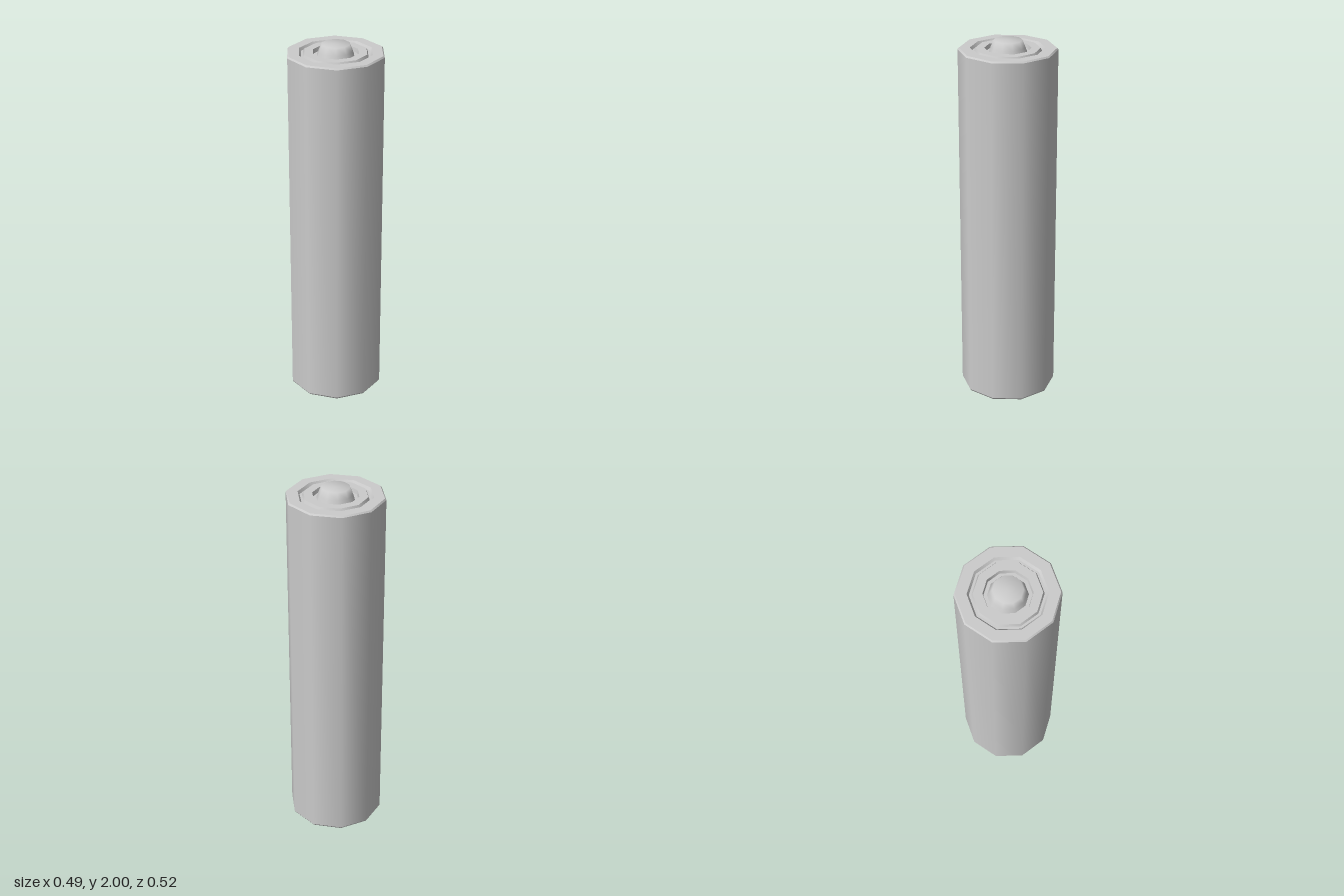
import * as THREE from 'three';
import { mergeGeometries } from 'three/addons/utils/BufferGeometryUtils.js';

const SIDES = 10;
const material = new THREE.MeshStandardMaterial({ color: 0xcccccc });

const lathe = (points) =>
  new THREE.LatheGeometry(points.map(([r, y]) => new THREE.Vector2(r, y)), SIDES);

// Ring-by-ring lathe: smooth around the axis, hard edges between rings
function sharpLathe(points) {
  const rings = [];
  for (let i = 0; i < points.length - 1; i++) rings.push(lathe([points[i], points[i + 1]]));
  return mergeGeometries(rings);
}

function part(name, geometry) {
  const mesh = new THREE.Mesh(geometry, material);
  mesh.name = name;
  return mesh;
}

export function createModel() {
  const group = new THREE.Group();
  group.name = 'battery';
  const top = 1.958;

  // Long ten-sided casing with narrow bevels at both ends
  group.add(part('casing', sharpLathe([
    [0.253, 0], [0.26, 0.01], [0.26, top - 0.008], [0.253, top],
  ])));

  // Concentric steps of an end cap, from the rim inwards: radius, depth
  const steps = [
    [0.253, 0], [0.197, 0], [0.187, 0.015], [0.175, 0.015],
    [0.168, 0], [0.122, 0], [0.118, 0.022], [0.1, 0.022],
  ];

  // Top cap, with the raised terminal in its centre
  group.add(part('topCap', sharpLathe(steps.map(([r, d]) => [r, top - d]))));
  group.add(part('terminal', lathe([
    [0.1, top - 0.022], [0.09, top + 0.005], [0.075, 2], [0, 2],
  ])));

  // Bottom cap, with a shallow plate in its centre
  group.add(part('bottomCap', sharpLathe(steps.map(([r, d]) => [r, d]).reverse())));
  group.add(part('basePlate', lathe([[0, 0.012], [0.075, 0.012], [0.1, 0.022]])));

  return group;
}
